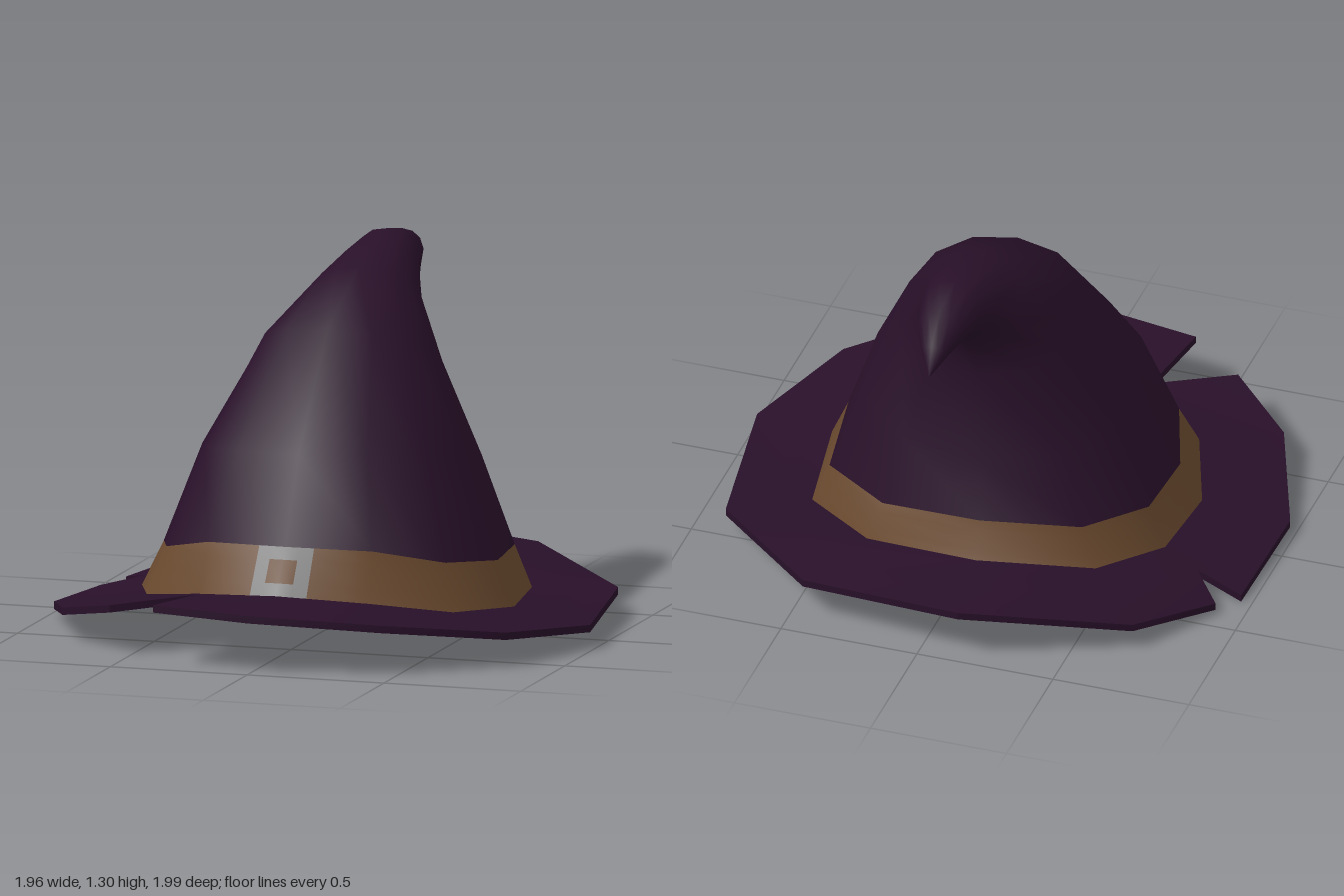
import * as THREE from 'three';
import { toCreasedNormals } from 'three/addons/utils/BufferGeometryUtils.js';

const V = (x, y, z) => new THREE.Vector3(x, y, z);
const mat = (name, color) => Object.assign(new THREE.MeshStandardMaterial({ color, side: THREE.DoubleSide }), { name });

// Twelve spokes round the hat, from the front towards +x: foot of the band, then top of the band
const foot = [[0, .225, .68], [.31, .2, .59], [.56, .15, .4], [.68, .12, .08], [.61, .11, -.34], [.31, .19, -.63],
  [-.11, .225, -.69], [-.49, .16, -.51], [-.65, .11, -.23], [-.68, .12, .08], [-.56, .15, .4], [-.31, .2, .59]].map(p => V(...p));
const crown = [[0, .38, .57], [.3, .37, .51], [.51, .31, .33], [.61, .275, .05], [.55, .26, -.33], [.27, .315, -.58],
  [-.1, .345, -.62], [-.43, .3, -.48], [-.59, .265, -.23], [-.61, .275, .05], [-.51, .31, .33], [-.3, .37, .51]].map(p => V(...p));

// Closed grid of rising rows; slot(row, column) picks the material of each cell
function ringGrid(rows, slot = () => 0) {
  const n = rows[0].length, cells = [[], []];
  for (let r = 0; r < rows.length - 1; r++) {
    for (let c = 0; c < n; c++) {
      const a = r * n + c, b = r * n + (c + 1) % n;
      cells[slot(r, c)].push(a, b, a + n, b, b + n, a + n);
    }
  }
  const geo = new THREE.BufferGeometry().setFromPoints(rows.flat());
  geo.setIndex(cells.flat());
  geo.addGroup(0, cells[0].length, 0);
  geo.addGroup(cells[0].length, cells[1].length, 1);
  geo.computeVertexNormals();
  return geo;
}

// Bent cone: each ring runs from a front point to a back point (z, y) with a half width
function coneGeometry() {
  const rings = [
    [.42, .68, -.54, .54, .485], [.09, 1.06, -.47, .84, .315], [-.26, 1.22, -.55, 1.03, .18],
    [-.44, 1.27, -.63, 1.1, .135], [-.59, 1.3, -.69, 1.12, .11], [-.76, 1.27, -.75, 1.115, .08],
    [-.84, 1.18, -.8, 1.1, .045], [-.87, 1.07, -.87, 1.07, 0],
  ];
  const rows = rings.map(([fz, fy, bz, by, w]) => crown.map(p => {
    const t = (p.z + .62) / 1.19;
    return V(p.x / .61 * w, by + (fy - by) * t, bz + (fz - bz) * t);
  }));
  return ringGrid([crown, ...rows]);
}

// Band with the square buckle cut into its front columns
function bandGeometry() {
  const columns = ring => [
    ...[0, 1 / 6, 1 / 3].map(t => ring[0].clone().lerp(ring[1], t)),
    ...ring.slice(1),
    ...[1 / 3, 1 / 6].map(t => ring[0].clone().lerp(ring[11], t)),
  ];
  const low = columns(foot), high = columns(crown), n = low.length;
  const rows = [0, .26, .74, 1].map(t => low.map((p, i) => p.clone().lerp(high[i], t)));
  return ringGrid(rows, (r, c) => {
    const inner = c === 0 || c === n - 1, outer = c === 1 || c === n - 2;
    return outer || (inner && r !== 1) ? 1 : 0;
  });
}

// Thin drooping brim with two torn notches
function brimGeometry() {
  const rim = [[0, .21, .99], [.45, .18, .87], [.81, .125, .58], [.98, .085, .15], [.88, .1, -.48], [.45, .16, -.91],
    [-.15, .205, -1], [-.7, .105, -.73], [-.9, .045, -.42], [-.98, .055, .15], [-.81, .12, .58], [-.57, .18, .79]].map(p => V(...p));
  const notches = {
    8: { tip: V(-.79, .08, -.29), after: V(-.96, .03, -.32) },
    11: { tip: V(-.312, .2, .61), after: V(-.37, .215, .92) },
  };
  const spokes = rim.map((p, i) => {
    const cut = notches[i];
    return { inner: foot[i], mid: cut ? cut.tip : foot[i].clone().lerp(p, .5), before: p, after: cut ? cut.after : p, cut };
  });
  const points = [];
  const quad = (a, b, c, d) => points.push(a, b, c, a, c, d);
  const down = p => V(p.x, p.y - .026, p.z);
  const wall = (a, b) => quad(down(a), down(b), b, a);
  spokes.forEach((s, i) => {
    const e = spokes[(i + 1) % spokes.length];
    const left = [s.after, s.mid, s.inner], right = [e.before, e.mid, e.inner];
    for (let k = 0; k < 2; k++) {
      quad(left[k], right[k], right[k + 1], left[k + 1]);
      quad(down(left[k + 1]), down(right[k + 1]), down(right[k]), down(left[k]));
    }
    wall(left[0], right[0]);
    wall(right[2], left[2]);
    if (s.cut) wall(s.mid, s.after);
    if (e.cut) wall(e.before, e.mid);
  });
  return toCreasedNormals(new THREE.BufferGeometry().setFromPoints(points), .6);
}

export function createModel() {
  const felt = mat('purple felt', 0x281029);
  const leather = mat('brown leather', 0x69492e);
  const metal = mat('grey metal', 0x828282);
  const hat = new THREE.Group();
  hat.name = 'pointedHat';
  const add = (name, geometry, material) => {
    const mesh = new THREE.Mesh(geometry, material);
    mesh.name = name;
    hat.add(mesh);
  };
  add('bentCone', coneGeometry(), [felt, felt]);
  add('bandWithBuckle', bandGeometry(), [leather, metal]);
  add('tornBrim', brimGeometry(), felt);
  return hat;
}
